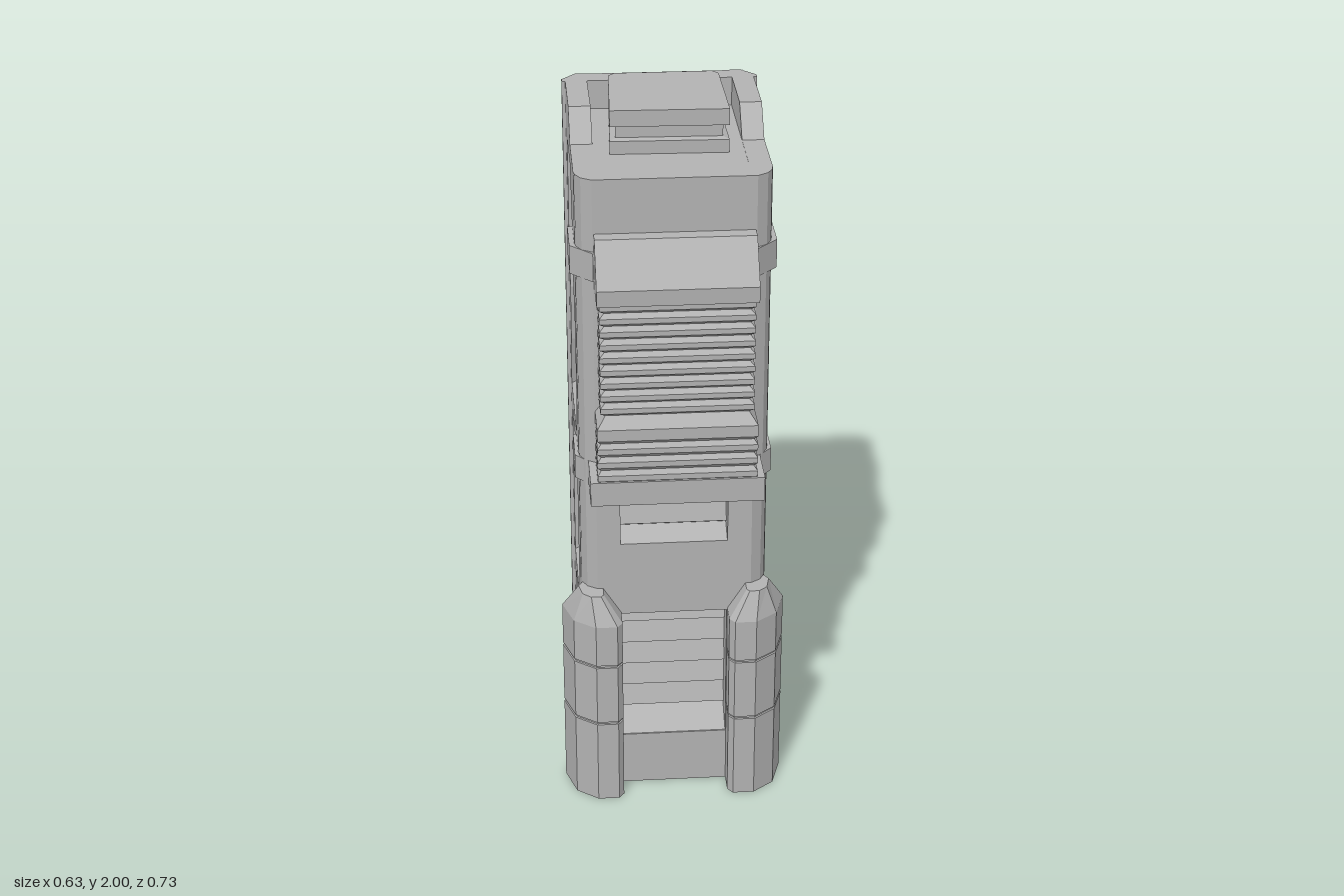
import * as THREE from 'three';

const concrete = new THREE.MeshStandardMaterial({ color: 0xb2b2b2 });
concrete.name = 'grey concrete';

function add(parent, geometry, name) {
  const mesh = new THREE.Mesh(geometry, concrete);
  mesh.name = name;
  parent.add(mesh);
  return mesh;
}

// Closed solid through convex rings, each { y, pts: [[x, z], ...] } listed front edge first, toward +x
function loft(rings) {
  const pos = [];
  const P = (r, i) => {
    const p = r.pts[i % r.pts.length];
    return [p[0], r.y, p[1]];
  };
  const n = rings[0].pts.length;
  for (let k = 0; k < rings.length - 1; k++) {
    const a = rings[k], b = rings[k + 1];
    for (let i = 0; i < n; i++) {
      pos.push(...P(a, i), ...P(a, i + 1), ...P(b, i + 1), ...P(a, i), ...P(b, i + 1), ...P(b, i));
    }
  }
  const lo = rings[0], hi = rings[rings.length - 1];
  for (let i = 1; i < n - 1; i++) {
    pos.push(...P(lo, 0), ...P(lo, i + 1), ...P(lo, i), ...P(hi, 0), ...P(hi, i), ...P(hi, i + 1));
  }
  const g = new THREE.BufferGeometry();
  g.setAttribute('position', new THREE.Float32BufferAttribute(pos, 3));
  g.computeVertexNormals();
  return g;
}

const prism = (pts, y0, y1) => loft([{ y: y0, pts }, { y: y1, pts }]);
const mirrorX = pts => pts.map(([x, z]) => [-x, z]).reverse();
const rect = (w, z0, z1) => [[-w, z1], [w, z1], [w, z0], [-w, z0]];
const scaled = (pts, s, cx, cz) => pts.map(([x, z]) => [cx + (x - cx) * s, cz + (z - cz) * s]);
const toShape = pts => new THREE.Shape(pts.map(p => new THREE.Vector2(...p)));

// Sawtooth louvre filling a window, with an optional sloping sill
function louvre(win, face, thick) {
  const us = win.pts.map(p => p[0]), vs = win.pts.map(p => p[1]);
  const u0 = Math.min(...us) - 0.004, u1 = Math.max(...us) + 0.004;
  const v0 = Math.min(...vs), v1 = Math.max(...vs);
  const sill = win.sill || 0, tip = -(win.recess || 0.022);
  const back = -thick + 0.004, root = tip - 0.018;
  const count = Math.round((v1 - v0 - sill) / 0.068), step = (v1 - v0 - sill) / count;
  const p = [[back, v0 - 0.003]];
  if (sill) p.push([-0.004, v0 - 0.003], [-0.004, v0]);
  for (let i = 0; i < count; i++) {
    const y = v0 + sill + i * step;
    p.push([root, y], [tip, y + 0.011]);
  }
  p.push([root, v1], [back, v1]);
  const g = new THREE.ExtrudeGeometry(toShape(p), { depth: u1 - u0, bevelEnabled: false });
  g.rotateY(-Math.PI / 2);
  g.translate(u1, 0, face);
  return g;
}

// Wall with window holes; local +z is outward, turned to its side of the tower
function wall(parent, name, outline, windows, face, thick, turn) {
  const group = new THREE.Group();
  group.name = name;
  const shape = toShape(outline);
  windows.forEach(w => shape.holes.push(new THREE.Path(w.pts.map(p => new THREE.Vector2(...p)))));
  const g = new THREE.ExtrudeGeometry(shape, { depth: thick, bevelEnabled: false });
  g.translate(0, 0, face - thick);
  add(group, g, 'wallPanel');
  windows.forEach(w => add(group, louvre(w, face, thick), 'windowLouvre'));
  group.rotation.y = turn;
  parent.add(group);
}

const box2 = (u0, u1, v0, v1) => [[u0, v0], [u1, v0], [u1, v1], [u0, v1]];

export function createModel() {
  const tower = new THREE.Group();
  tower.name = 'tower';

  // Side walls with stepped parapet and wavy upper windows, points as [z, y]
  const sideOutline = [[0.18, 0], [0.18, 1.88], [-0.02, 1.88], [-0.095, 1.96], [-0.32, 1.96], [-0.32, 0]];
  const sideWindows = [
    { pts: box2(-0.24, 0.065, 0.26, 0.455), sill: 0.03 },
    { pts: box2(-0.24, 0.065, 0.515, 0.99), sill: 0.02 },
    { pts: [[-0.26, 1.06], [0.07, 1.06], [0.115, 1.19], [0.115, 1.4], [0.03, 1.53], [0.03, 1.67],
      [-0.04, 1.82], [-0.24, 1.82], [-0.24, 1.55], [-0.2, 1.39], [-0.215, 1.22]], sill: 0.02 },
  ];
  for (const s of [1, -1]) {
    const flip = pts => pts.map(([z, y]) => [-s * z, y]);
    wall(tower, s > 0 ? 'leftWall' : 'rightWall', flip(sideOutline),
      sideWindows.map(w => ({ ...w, pts: flip(w.pts) })), 0.26, 0.06, s * Math.PI / 2);
  }

  // Back wall, points as [-x, y]
  wall(tower, 'backWall', box2(-0.235, 0.235, 0, 1.96), [
    { pts: box2(-0.18, 0.16, 0.27, 0.46), sill: 0.03 },
    { pts: [[-0.18, 0.52], [0.16, 0.52], [0.11, 0.64], [0.16, 0.8], [0.16, 0.99], [-0.18, 0.99]], sill: 0.02 },
    { pts: [[-0.18, 1.06], [0.16, 1.06], [0.11, 1.24], [0.11, 1.42], [0.16, 1.56], [0.16, 1.81],
      [-0.09, 1.81], [-0.09, 1.46], [-0.18, 1.24]], sill: 0.02 },
  ], 0.36, 0.06, Math.PI);

  // Front wall with entrance recess and a small window
  wall(tower, 'frontWall', box2(-0.2, 0.2, 0, 1.88), [
    { pts: box2(-0.15, 0.148, 0.165, 0.575), sill: 0.055, recess: 0.055 },
    { pts: box2(-0.15, 0.148, 0.8, 0.99), sill: 0.03, recess: 0.04 },
  ], 0.24, 0.1, 0);

  // Roof slab between the walls
  add(tower, prism(rect(0.203, -0.305, 0.16), 1.83, 1.879), 'roof');

  // Corner posts and buttresses, mirrored left and right
  const frontPost = [[0.198, 0.24], [0.215, 0.24], [0.243, 0.222], [0.257, 0.195], [0.26, 0.175], [0.198, 0.175]];
  const backPost = [[0.2, -0.3], [0.27, -0.3], [0.27, -0.318], [0.23, -0.363], [0.2, -0.363]];
  const foot = [[0.15, 0.3], [0.165, 0.32], [0.225, 0.32], [0.285, 0.275], [0.314, 0.185], [0.265, 0.137], [0.15, 0.137]];
  const crown = [[0.2, 0.275], [0.208, 0.285], [0.235, 0.285], [0.258, 0.265], [0.268, 0.22], [0.25, 0.19], [0.2, 0.19]];
  for (const s of [1, -1]) {
    const side = s > 0 ? 'left' : 'right';
    const m = pts => (s > 0 ? pts : mirrorX(pts));
    add(tower, prism(m(frontPost), 0, 1.88), side + 'FrontPost');
    add(tower, prism(m(backPost), 0, 1.96), side + 'BackPost');
    const slim = scaled(foot, 0.96, 0.2, 0.2);
    const rings = [{ y: 0, pts: foot }];
    for (const y of [0.26, 0.45]) {
      rings.push({ y: y - 0.004, pts: foot }, { y: y - 0.003, pts: slim },
        { y: y + 0.003, pts: slim }, { y: y + 0.004, pts: foot });
    }
    rings.push({ y: 0.58, pts: foot }, { y: 0.66, pts: crown });
    add(tower, loft(rings.map(r => ({ y: r.y, pts: m(r.pts) }))), side + 'Buttress');
  }

  // Bands wrapping the front half of the tower
  const band = (w, z0) => [[-0.215, 0.252], [0.215, 0.252], [w, 0.19], [w, z0], [-w, z0], [-w, 0.19]];
  add(tower, prism(band(0.27, 0.068), 0.99, 1.06), 'lowerBand');
  add(tower, prism(band(0.274, 0.06), 1.6, 1.68), 'upperBand');

  // Ribbed front bay with ledge and sloping cap
  add(tower, prism(rect(0.235, 0.2, 0.36), 0.99, 1.06), 'bayLedge');
  const bay = [];
  const ribs = (y0, y1, n, w, z, depth) => {
    const h = (y1 - y0) / n;
    for (let i = 0; i < n; i++) {
      const y = y0 + i * h;
      bay.push({ y: y + 0.001, pts: rect(w - depth, 0.2, z - depth) },
        { y: y + h * 0.3, pts: rect(w, 0.2, z) },
        { y: y + h * 0.7, pts: rect(w, 0.2, z) });
    }
  };
  ribs(1.05, 1.21, 4, 0.215, 0.355, 0.01);
  bay.push({ y: 1.215, pts: rect(0.215, 0.2, 0.355) });
  ribs(1.245, 1.58, 9, 0.205, 0.34, 0.013);
  bay.push({ y: 1.58, pts: rect(0.195, 0.2, 0.33) });
  add(tower, loft(bay), 'ribbedBay');
  add(tower, loft([
    { y: 1.575, pts: rect(0.212, 0.2, 0.36) },
    { y: 1.62, pts: rect(0.212, 0.2, 0.362) },
    { y: 1.73, pts: rect(0.212, 0.2, 0.28) },
  ]), 'bayCap');

  // Rooftop block with a shallow waist
  const block = [[-0.158, 0.058], [0.158, 0.065], [0.155, -0.222], [0.14, -0.242], [-0.128, -0.242], [-0.146, -0.222]];
  const waist = scaled(block, 0.9, 0, -0.09);
  add(tower, loft([
    { y: 1.87, pts: block }, { y: 1.915, pts: block }, { y: 1.92, pts: waist },
    { y: 1.95, pts: waist }, { y: 1.955, pts: block }, { y: 2, pts: block },
  ]), 'roofBlock');

  return tower;
}
